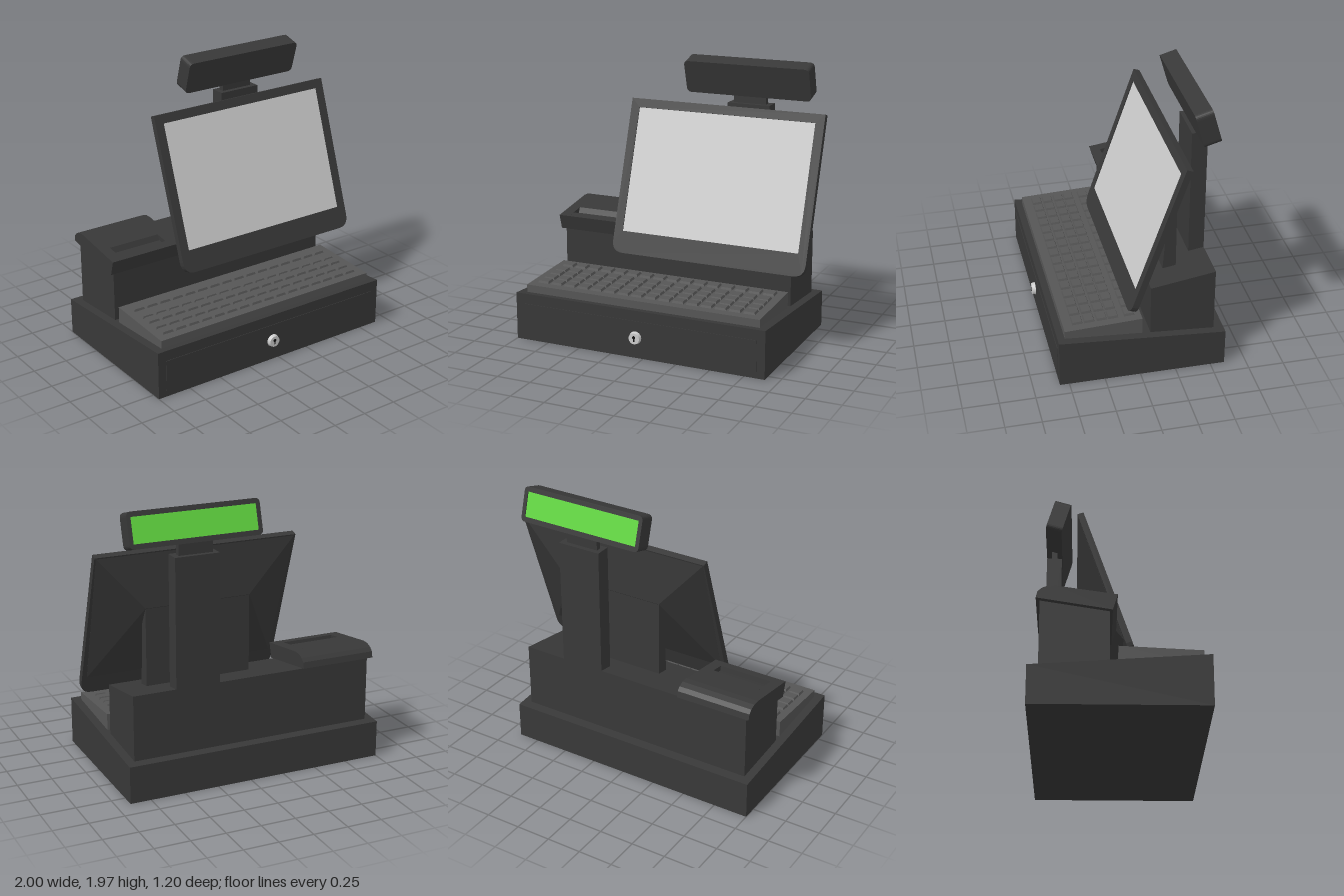
import * as THREE from 'three';
import { mergeGeometries } from 'three/addons/utils/BufferGeometryUtils.js';
import { ConvexGeometry } from 'three/addons/geometries/ConvexGeometry.js';

const mat = (color, flatShading = true) => new THREE.MeshStandardMaterial({ color, flatShading });
const dark = mat(0x383838), keyGrey = mat(0x555555), black = mat(0x111111);
const glass = mat(0xcccccc), metal = mat(0xcccccc, false), green = mat(0x62d840);

function part(parent, name, geometry, material = dark) {
  const mesh = new THREE.Mesh(geometry, material);
  mesh.name = name;
  parent.add(mesh);
  return mesh;
}

// Box given by its limits
function box(x0, x1, y0, y1, z0, z1) {
  return new THREE.BoxGeometry(x1 - x0, y1 - y0, z1 - z0)
    .translate((x0 + x1) / 2, (y0 + y1) / 2, (z0 + z1) / 2);
}

// Side profile of [z, y] points, extruded from x0 to x1
function profile(points, x0, x1) {
  const shape = new THREE.Shape(points.map(([z, y]) => new THREE.Vector2(z, y)));
  return new THREE.ExtrudeGeometry(shape, { depth: x1 - x0, bevelEnabled: false })
    .rotateY(-Math.PI / 2).translate(x1, 0, 0);
}

// Rectangle with separate bottom and top corner radii
function roundedRect(x0, y0, x1, y1, rb = 0, rt = rb) {
  const s = new THREE.Shape();
  s.moveTo(x0 + rb, y0).lineTo(x1 - rb, y0);
  if (rb) s.quadraticCurveTo(x1, y0, x1, y0 + rb);
  s.lineTo(x1, y1 - rt);
  if (rt) s.quadraticCurveTo(x1, y1, x1 - rt, y1);
  s.lineTo(x0 + rt, y1);
  if (rt) s.quadraticCurveTo(x0, y1, x0, y1 - rt);
  s.lineTo(x0, y0 + rb);
  if (rb) s.quadraticCurveTo(x0, y0, x0 + rb, y0);
  return s;
}

// Panel facing +z at z = 0: solid back, raised bezel, recessed face
function framedPanel(name, outline, face, depth, recess, faceMaterial) {
  const group = new THREE.Group();
  group.name = name;
  const solid = new THREE.Shape(outline.getPoints(6));
  const extrude = (s, d, z) =>
    new THREE.ExtrudeGeometry(s, { depth: d, bevelEnabled: false, curveSegments: 6 }).translate(0, 0, z);
  part(group, name + 'Back', extrude(solid, depth - recess, -depth));
  const [x0, y0, x1, y1] = face;
  outline.holes.push(roundedRect(x0, y0, x1, y1));
  part(group, name + 'Bezel', extrude(outline, recess, -recess));
  part(group, name + 'Face', box(x0, x1, y0, y1, -recess - 0.01, -recess + 0.002), faceMaterial);
  return group;
}

export function createModel() {
  const model = new THREE.Group();
  model.name = 'cashRegister';

  // Cash drawer with sloping top, drawer front and lock
  part(model, 'drawerCase', profile([[0.566, 0], [0.566, 0.345], [-0.6, 0.265], [-0.6, 0]], -1, 0.9));
  part(model, 'drawerFront', box(-0.94, 0.84, 0.045, 0.27, 0.55, 0.57));
  const lock = new THREE.Group();
  lock.name = 'lock';
  lock.position.set(-0.055, 0.15, 0.57);
  model.add(lock);
  part(lock, 'lockBarrel', new THREE.CylinderGeometry(0.04, 0.046, 0.025, 28).rotateX(Math.PI / 2).translate(0, 0, 0.0125), metal);
  part(lock, 'keyholeRound', new THREE.CylinderGeometry(0.012, 0.012, 0.002, 16).rotateX(Math.PI / 2).translate(0, 0.008, 0.025), black);
  part(lock, 'keyholeSlot', box(-0.005, 0.005, -0.022, 0.008, 0.024, 0.026), black);

  // Keyboard: tray, thin rim and five rows of tapered keys
  const deck = z => 0.423 - (z + 0.025) * 0.048;
  part(model, 'keyboardTray',
    profile([[0.515, 0.3], [0.515, deck(0.515)], [-0.025, deck(-0.025)], [-0.025, 0.27]], -0.94, 0.84), keyGrey);
  const keys = [];
  for (const z of [0.055, 0.167, 0.246, 0.332, 0.415]) {
    for (let i = 0; i < 16; i++) {
      keys.push(new THREE.CylinderGeometry(0.56, 0.707, 1, 4).rotateY(Math.PI / 4)
        .scale(0.092, 0.022, 0.078).rotateX(0.048)
        .translate(-0.842 + i * 0.1053, deck(z) + 0.004, z));
    }
  }
  part(model, 'keys', mergeGeometries(keys), keyGrey);

  // Rear housing
  part(model, 'housing', profile([[-0.08, 0.25], [-0.08, 0.663], [-0.53, 0.735], [-0.53, 0.25]], -0.94, 0.84));

  // Receipt printer cover, with a paper slot in its middle section
  const front = [[-0.062, 0.662], [-0.03, 0.77]];
  const back = [[-0.43, 0.828], [-0.48, 0.826], [-0.52, 0.81], [-0.545, 0.785], [-0.555, 0.742]];
  const slot = [[-0.1, 0.78], [-0.105, 0.745], [-0.18, 0.757], [-0.2, 0.795]];
  const cover = new THREE.Group();
  cover.name = 'printerCover';
  model.add(cover);
  part(cover, 'coverRightEnd', profile([...front, ...back], -0.97, -0.89));
  part(cover, 'coverSlotSection', profile([...front, ...slot, ...back], -0.89, -0.5));
  part(cover, 'coverLeftEnd', profile([...front, ...back], -0.5, -0.42));

  // Tilted main screen
  const screen = framedPanel('screen', roundedRect(-0.47, 0, 1, 1.126, 0.085, 0),
    [-0.405, 0.159, 0.935, 1.062], 0.045, 0.008, glass);
  screen.position.set(0, 0.588, 0.105);
  screen.rotation.x = -0.33;
  model.add(screen);

  // Faceted hump behind the screen and the stand beneath it
  const hump = [];
  for (const side of [-1, 1]) {
    const at = (half, y, z) => hump.push(new THREE.Vector3(0.265 + side * half, y, z));
    at(0.725, 1.63, -0.3);
    at(0.725, 1.62, -0.27);
    at(0.385, 1.25, -0.302);
    at(0.7, 0.7, 0.018);
    at(0.7, 0.72, 0.04);
  }
  part(model, 'screenHump', new ConvexGeometry(hump));
  part(model, 'screenStand',
    profile([[-0.205, 0.66], [-0.238, 1.13], [-0.3, 1.25], [-0.3, 0.66]], -0.12, 0.65));

  // Pole carrying the customer display, which faces the back
  part(model, 'displayPole', box(0.21, 0.53, 0.66, 1.645, -0.53, -0.42));
  part(model, 'displayNeck', box(0.245, 0.49, 1.64, 1.78, -0.495, -0.455));
  const display = framedPanel('customerDisplay', roundedRect(-0.473, -0.1225, 0.473, 0.1225, 0.035),
    [-0.445, -0.088, 0.445, 0.088], 0.12, 0.008, green);
  display.children.forEach(m => m.geometry.translate(0, 0, 0.06));
  display.rotation.set(-0.285, Math.PI, 0, 'YXZ');
  display.position.set(0.3675, 1.834, -0.4425);
  model.add(display);

  return model;
}
